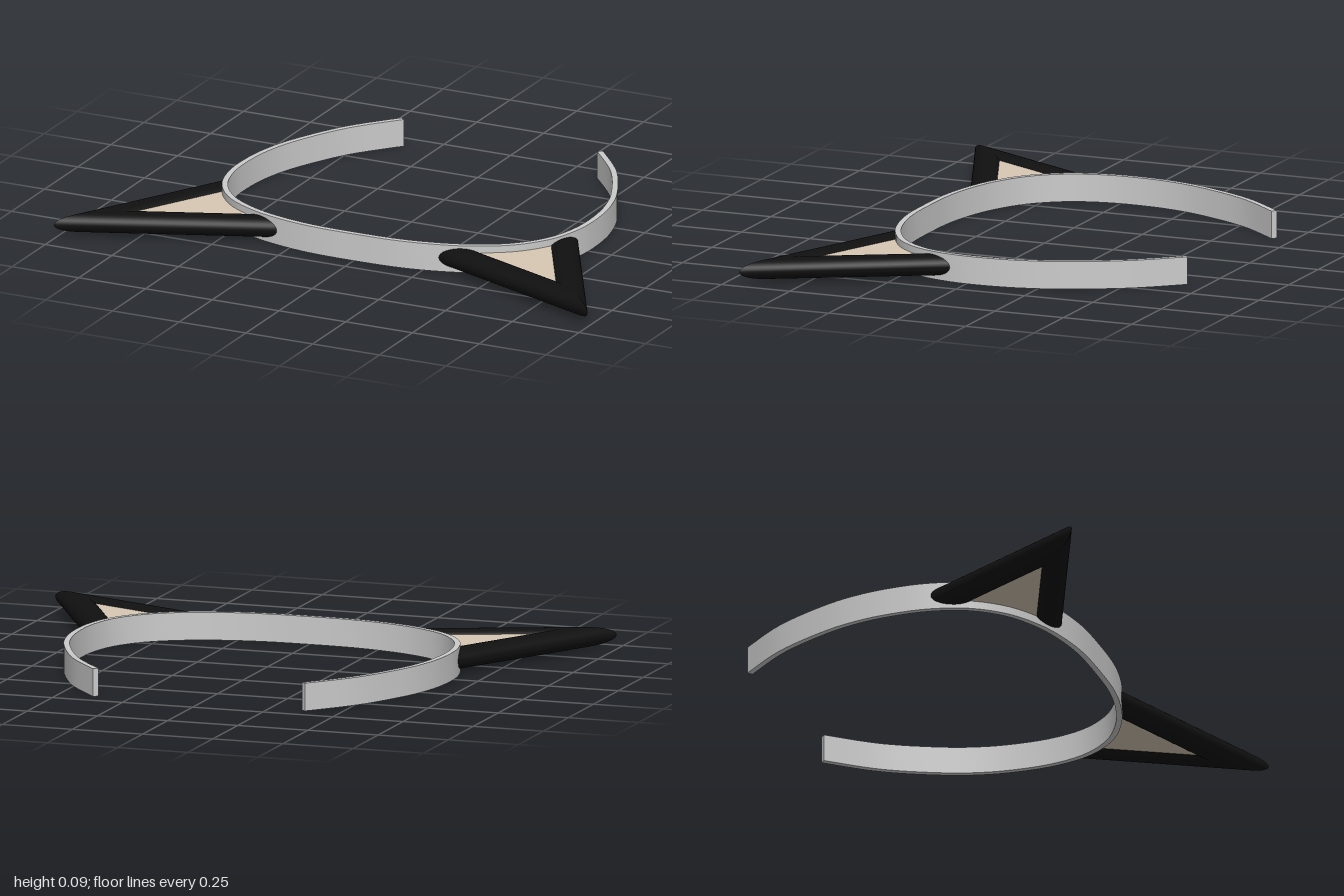
import * as THREE from 'three';
import { toCreasedNormals } from 'three/addons/utils/BufferGeometryUtils.js';

const BAND_H = 0.095, BAND_T = 0.02, MID_Y = 0.049;

const grey = new THREE.MeshStandardMaterial({ color: 0xcccccc });
const black = new THREE.MeshStandardMaterial({ color: 0x101010 });
const beige = new THREE.MeshStandardMaterial({ color: 0xd8c8b4 });

const v2 = (x, z) => new THREE.Vector2(x, z);

function makeMesh(name, geometry, material) {
  const mesh = new THREE.Mesh(geometry, material);
  mesh.name = name;
  return mesh;
}

// Extrude an outline drawn in (x, z) upwards from y0 to y1
function slab(points, y0, y1) {
  const geo = new THREE.ExtrudeGeometry(new THREE.Shape(points), { depth: y1 - y0, bevelEnabled: false });
  geo.rotateX(Math.PI / 2).translate(0, y1, 0);
  return toCreasedNormals(geo, 0.5);
}

// Open hoop: a thin ribbon offset to both sides of a centre line
function bandGeometry() {
  const half = [[0.16, 0.421], [0.3, 0.396], [0.42, 0.354], [0.53, 0.284], [0.61, 0.18], [0.647, 0.06],
    [0.654, -0.06], [0.64, -0.19], [0.597, -0.33], [0.5, -0.52], [0.37, -0.68]];
  const line = [
    ...half.map(([x, z]) => v2(-x, z)).reverse(),
    v2(0, 0.426),
    ...half.map(([x, z]) => v2(x, z)),
  ];
  const curve = new THREE.SplineCurve(line);
  const outer = [], inner = [], n = 96;
  for (let i = 0; i <= n; i++) {
    const p = curve.getPointAt(i / n), t = curve.getTangentAt(i / n);
    const side = v2(-t.y, t.x).multiplyScalar(BAND_T / 2);
    outer.push(p.clone().add(side));
    inner.push(p.clone().sub(side));
  }
  return slab([...outer, ...inner.reverse()], 0, BAND_H);
}

// V-shaped ear rim: an oval section swept base - tip - base with a mitred tip
function rimGeometry(side) {
  const stations = [
    { out: [0.652, 0.055], inn: [0.604, 0.1875] },
    { out: [1, 0.685], inn: [0.768, 0.485] },
    { out: [0.29, 0.4], inn: [0.434, 0.351] },
  ];
  if (side < 0) stations.reverse();
  const n = 32, pos = [], index = [];
  for (const { out, inn } of stations) {
    for (let j = 0; j < n; j++) {
      const a = (j / n) * Math.PI * 2, k = (1 + Math.cos(a)) / 2;
      pos.push(
        side * THREE.MathUtils.lerp(inn[0], out[0], k),
        MID_Y + 0.036 * Math.sin(a),
        THREE.MathUtils.lerp(inn[1], out[1], k),
      );
    }
  }
  for (let i = 0; i < stations.length - 1; i++) {
    for (let j = 0; j < n; j++) {
      const a = i * n + j, b = i * n + (j + 1) % n;
      index.push(a, b, a + n, b, b + n, a + n);
    }
  }
  const geo = new THREE.BufferGeometry();
  geo.setAttribute('position', new THREE.Float32BufferAttribute(pos, 3));
  geo.setIndex(index);
  return toCreasedNormals(geo, 0.6);
}

// Inner ear: flat panel whose base follows the hoop
function panelGeometry(side) {
  const outline = [[0.625, 0.145], [0.61, 0.18], [0.575, 0.236], [0.53, 0.284], [0.48, 0.322],
    [0.42, 0.354], [0.39, 0.366], [0.815, 0.527]];
  return slab(outline.map(([x, z]) => v2(side * x, z)), MID_Y - 0.022, MID_Y + 0.022);
}

export function createModel() {
  const model = new THREE.Group();
  model.name = 'earHeadband';
  model.add(makeMesh('band', bandGeometry(), grey));
  for (const [side, name] of [[1, 'leftEar'], [-1, 'rightEar']]) {
    const ear = new THREE.Group();
    ear.name = name;
    ear.add(makeMesh('earRim', rimGeometry(side), black));
    ear.add(makeMesh('innerEar', panelGeometry(side), beige));
    model.add(ear);
  }
  return model;
}
